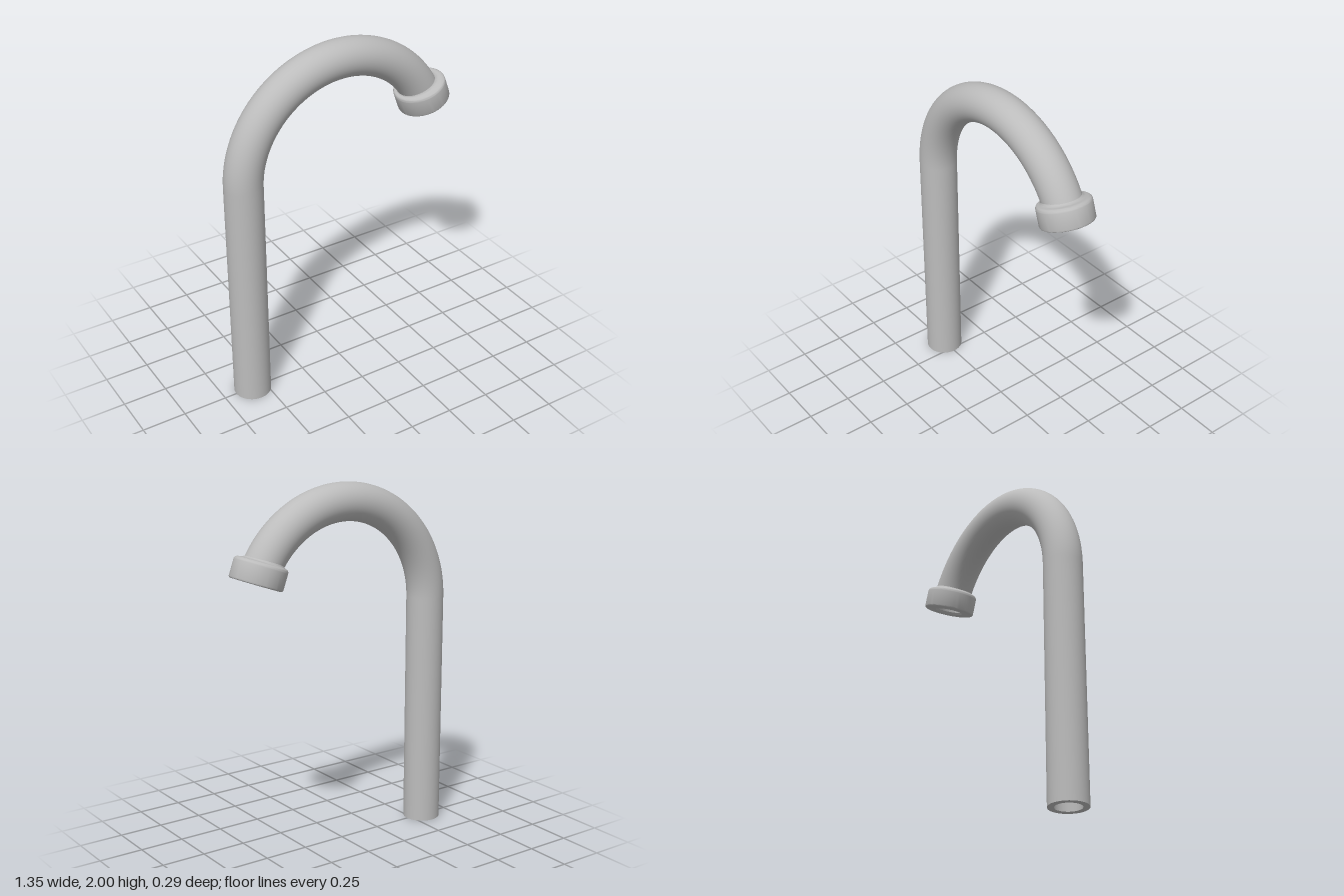
import * as THREE from 'three';
import { toCreasedNormals } from 'three/addons/utils/BufferGeometryUtils.js';

const BEND = 0.576, RISE = 1.32, TILT = THREE.MathUtils.degToRad(20);
const OUTER = 0.104, BORE = 0.07, COLLAR = 0.144;

// Straight riser followed by a circular bend, measured by arc length
class SpoutPath extends THREE.Curve {
  constructor(trim = 0) {
    super();
    this.total = RISE + BEND * (Math.PI - TILT) - trim;
  }
  getPoint(t, target = new THREE.Vector3()) {
    const s = t * this.total;
    if (s <= RISE) return target.set(-BEND, s, 0);
    const a = Math.PI - (s - RISE) / BEND;
    return target.set(BEND * Math.cos(a), RISE + BEND * Math.sin(a), 0);
  }
}

// Quarter-round profile points about (cx, cy)
function arc(cx, cy, r, from, to, n = 6) {
  return Array.from({ length: n + 1 }, (_, i) => {
    const a = THREE.MathUtils.degToRad(from + (to - from) * i / n);
    return new THREE.Vector2(cx + r * Math.cos(a), cy + r * Math.sin(a));
  });
}

export function createModel() {
  const group = new THREE.Group();
  const metal = new THREE.MeshStandardMaterial({ color: 0xbcbcbc, side: THREE.DoubleSide });
  metal.name = 'satin grey metal';
  const add = (name, geometry) => {
    const mesh = new THREE.Mesh(geometry, metal);
    mesh.name = name;
    group.add(mesh);
    return mesh;
  };

  // Pipe wall and hollow bore
  add('pipe', new THREE.TubeGeometry(new SpoutPath(0.006), 128, OUTER, 48));
  add('bore', new THREE.TubeGeometry(new SpoutPath(0.012), 128, BORE, 40));

  // Annular cut at the foot of the pipe
  add('footRim', new THREE.RingGeometry(BORE, OUTER, 48)).rotation.x = Math.PI / 2;
  group.children[2].position.x = -BEND;

  // Nozzle collar: chamfered mouth, rounded edges, fillet up to the pipe
  const profile = [
    new THREE.Vector2(BORE, 0.012),
    new THREE.Vector2(0.078, 0),
    ...arc(COLLAR - 0.01, 0.01, 0.01, -90, 0),
    ...arc(COLLAR - 0.02, 0.098, 0.02, 0, 90),
    ...arc(0.124, 0.14, 0.022, 270, 180),
    new THREE.Vector2(0.1, 0.155),
  ];
  const collar = new THREE.LatheGeometry(profile, 56);
  // Lean the fillet so that it follows the bend of the pipe
  const p = collar.attributes.position;
  for (let i = 0; i < p.count; i++) {
    const r = Math.hypot(p.getX(i), p.getZ(i)), y = p.getY(i);
    const w = y > 0.08 ? THREE.MathUtils.clamp((COLLAR - r) / 0.04, 0, 1) : 0;
    p.setX(i, p.getX(i) - w * y * y / (2 * BEND));
  }
  const nozzle = add('nozzleCollar', toCreasedNormals(collar, Math.PI / 6));
  nozzle.position.set(BEND * Math.cos(TILT), RISE + BEND * Math.sin(TILT), 0);
  nozzle.rotation.z = TILT;

  return group;
}
